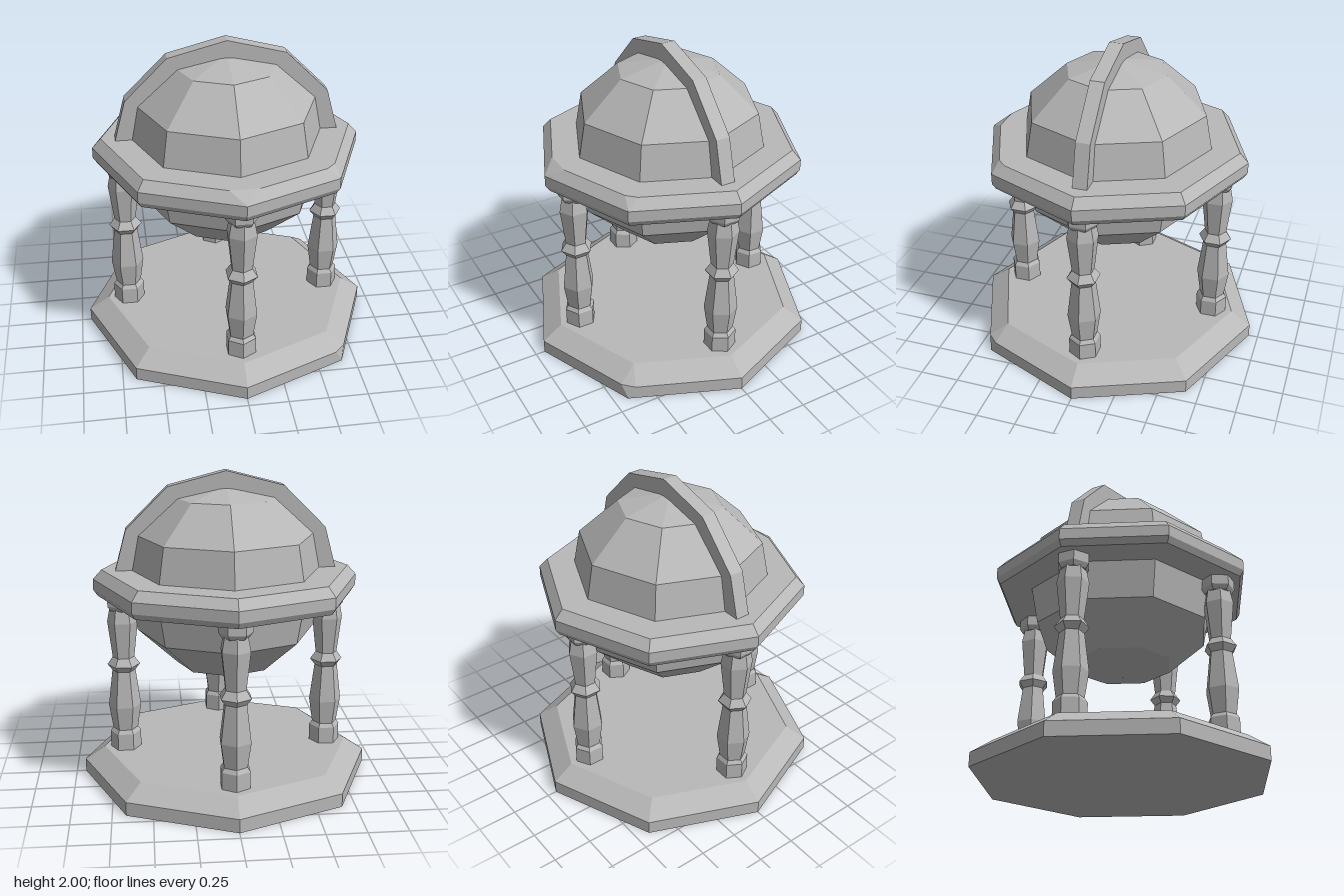
import * as THREE from 'three';
import { ConvexGeometry } from 'three/addons/geometries/ConvexGeometry.js';

const stone = new THREE.MeshStandardMaterial({ color: 0xb8b8b8, flatShading: true });
stone.name = 'grey stone';

function add(parent, name, geometry) {
  const mesh = new THREE.Mesh(geometry, stone);
  mesh.name = name;
  parent.add(mesh);
  return mesh;
}

// Faceted turned shape from [radius, height] pairs, bottom to top
function turned(profile, sides) {
  return new THREE.LatheGeometry(profile.map(([r, y]) => new THREE.Vector2(r, y)), sides);
}

// Octagonal slab; each chip { level, corner, along, down } cuts one corner away
function slab(profile, chips) {
  const at = (level, corner) => {
    const [r, y] = profile[level];
    const a = corner * Math.PI / 4;
    return new THREE.Vector3(r * Math.sin(a), y, r * Math.cos(a));
  };
  const points = [];
  profile.forEach((_, level) => {
    for (let corner = 0; corner < 8; corner++) {
      const p = at(level, corner);
      const chip = chips.find(c => c.level === level && c.corner === corner);
      if (!chip) { points.push(p); continue; }
      for (const side of [-1, 1]) points.push(p.clone().lerp(at(level, corner + side), chip.along));
      points.push(p.clone().lerp(at(level - 1, corner), chip.down));
      if (level + 1 < profile.length) points.push(p.clone().lerp(at(level + 1, corner), 0.6));
    }
  });
  return new ConvexGeometry(points);
}

export function createModel() {
  const model = new THREE.Group();
  model.name = 'globeOnStand';

  // Plinth with sloped rim and a chipped front corner
  add(model, 'base', slab(
    [[0.94, 0], [0.94, 0.088], [0.87, 0.11], [0.81, 0.175]],
    [{ level: 1, corner: 1, along: 0.07, down: 0.9 }]));

  // Horizon ring around the globe, bevelled, with worn corners
  add(model, 'horizonRing', slab(
    [[0.82, 1.212], [0.845, 1.25], [0.845, 1.32], [0.79, 1.38]],
    [{ level: 3, corner: 0, along: 0.16, down: 0.95 },
      { level: 3, corner: 1, along: 0.07, down: 0.9 }]));

  // Faceted globe
  add(model, 'globe', turned(
    [[0, 0.68], [0.32, 0.755], [0.57, 0.98], [0.63, 1.29], [0.57, 1.6], [0.32, 1.83], [0, 1.9]], 8));

  // Meridian arch over the globe
  const outer = [[0.71, 1.29], [0.7, 1.38], [0.63, 1.64], [0.365, 1.905], [0, 2]];
  const inner = [[0.6, 1.29], [0.52, 1.6], [0.3, 1.82], [0, 1.88]];
  const half = (pts) => pts.concat(pts.slice(0, -1).reverse().map(([x, y]) => [-x, y]));
  const outline = half(outer).concat(half(inner).reverse());
  const arch = new THREE.ExtrudeGeometry(
    new THREE.Shape(outline.map(([x, y]) => new THREE.Vector2(x, y))),
    { depth: 0.09, bevelEnabled: false });
  arch.translate(0, 0, -0.045);
  add(model, 'meridianArch', arch);

  // Four turned hexagonal posts
  const foot = turned([[0, 0.17], [0.1, 0.17], [0.1, 0.285], [0.082, 0.31], [0, 0.31]], 6);
  const shaft = turned([[0.08, 0.3], [0.105, 0.47], [0.075, 0.71], [0.105, 0.75],
    [0.07, 0.8], [0.098, 1.04], [0.08, 1.13]], 6);
  const cap = turned([[0, 1.12], [0.085, 1.12], [0.105, 1.15], [0.105, 1.215], [0, 1.215]], 6);
  for (let i = 0; i < 4; i++) {
    const arm = new THREE.Group();
    arm.name = 'post';
    arm.rotation.y = i * Math.PI / 2;
    for (const [name, geometry, turn] of [
      ['postFoot', foot, 0], ['postShaft', shaft, 0], ['postCap', cap, Math.PI / 6]]) {
      const mesh = add(arm, name, geometry);
      mesh.position.z = 0.667;
      mesh.rotation.y = turn;
    }
    model.add(arm);
  }
  return model;
}
